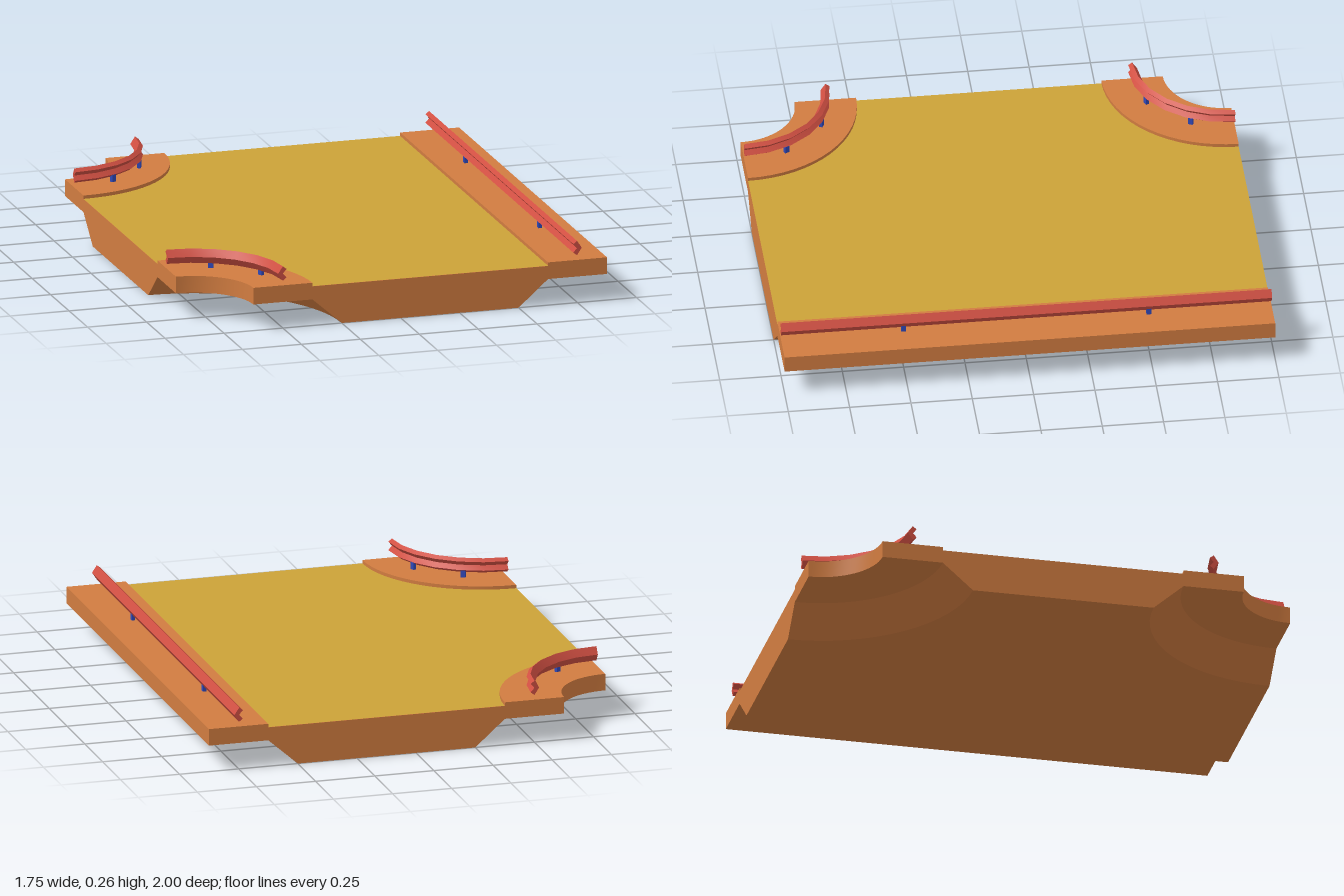
import * as THREE from 'three';
import { toCreasedNormals } from 'three/addons/utils/BufferGeometryUtils.js';

const paint = (color) => new THREE.MeshStandardMaterial({ color });
const concrete = paint(0xd17c40);
const asphalt = paint(0xcca238);
const railRed = paint(0xd04f42);
const postBlue = paint(0x3048b8);

function addMesh(parent, name, geometry, material) {
  const mesh = new THREE.Mesh(geometry, material);
  mesh.name = name;
  parent.add(mesh);
  return mesh;
}

// Points of an arc, in degrees
function arc(cx, cy, r, from, to, steps) {
  return Array.from({ length: steps + 1 }, (_, i) => {
    const a = THREE.MathUtils.degToRad(from + ((to - from) * i) / steps);
    return new THREE.Vector2(cx + r * Math.cos(a), cy + r * Math.sin(a));
  });
}

// Solid through matching rings, capped at both ends
function loft(rings) {
  const n = rings[0].length;
  const pos = [];
  const put = (...points) => points.forEach((p) => pos.push(p.x, p.y, p.z));
  for (let i = 0; i < rings.length - 1; i++) {
    for (let j = 0; j < n; j++) {
      const k = (j + 1) % n;
      const a = rings[i][j], b = rings[i][k], c = rings[i + 1][k], d = rings[i + 1][j];
      put(a, b, c, a, c, d);
    }
  }
  const flat = rings.flat2d;
  const first = rings[0], last = rings[rings.length - 1];
  for (const [a, b, c] of THREE.ShapeUtils.triangulateShape(flat, [])) {
    put(first[a], first[c], first[b], last[a], last[b], last[c]);
  }
  const geometry = new THREE.BufferGeometry();
  geometry.setAttribute('position', new THREE.Float32BufferAttribute(pos, 3));
  return toCreasedNormals(geometry, 0.5);
}

// Plan outlines stacked upwards: [height, outline] pairs
function stack(levels) {
  const rings = levels.map(([y, pts]) => pts.map((p) => new THREE.Vector3(p.x, y, -p.y)));
  rings.flat2d = levels[0][1];
  return loft(rings);
}

// Chevron guard rail section: x points away from the road, y is height
const chevron = [
  [0.02, 0.23], [0, 0.26], [-0.016, 0.248], [0, 0.23], [-0.016, 0.212], [0, 0.2],
].map(([x, y]) => new THREE.Vector2(x, y));

// Sweep the rail section through stations made by a placing function
function rail(stations, place) {
  const rings = stations.map((s) => chevron.map((p) => place(p, s)));
  rings.flat2d = chevron;
  return loft(rings);
}

// Deck plan: rectangle with two rounded cut-outs on its right side
function deckOutline(xRight, r) {
  return [
    new THREE.Vector2(xRight, -1),
    new THREE.Vector2(xRight, 1),
    ...arc(-0.875, 1, r, 0, -90, 16),
    ...arc(-0.875, -1, r, 90, 0, 16),
  ];
}

function addPost(parent, x, z, turn = 0) {
  const post = addMesh(parent, 'railPost', new THREE.BoxGeometry(0.014, 0.032, 0.02), postBlue);
  post.position.set(x, 0.194, z);
  post.rotation.y = turn;
}

// Curved corner walkway with its rail, around the local origin
function createCorner(name) {
  const corner = new THREE.Group();
  corner.name = name;
  const plan = [...arc(0, 0, 0.5, 0, 90, 16), ...arc(0, 0, 0.25, 90, 0, 16)];
  addMesh(corner, 'cornerCurb', stack([[0.11, plan], [0.18, plan]]), concrete);

  const angles = Array.from({ length: 7 }, (_, i) => (i / 6) * Math.PI / 2);
  const curved = rail(angles, (p, a) =>
    new THREE.Vector3((0.375 - p.x) * Math.cos(a), p.y, -(0.375 - p.x) * Math.sin(a)));
  addMesh(corner, 'curvedRail', curved, railRed);

  for (const deg of [27.5, 62.5]) {
    const a = THREE.MathUtils.degToRad(deg);
    addPost(corner, 0.381 * Math.cos(a), -0.381 * Math.sin(a), a);
  }
  return corner;
}

export function createModel() {
  const model = new THREE.Group();
  model.name = 'roadBridgeJunction';

  // Deck with sloped lower flanks
  const top = deckOutline(0.625, 0.5);
  const bottom = deckOutline(0.5, 0.625);
  addMesh(model, 'deck', stack([[0, bottom], [0.11, top], [0.165, top]]), concrete);

  // Road surface
  const road = new THREE.ShapeGeometry(new THREE.Shape(top)).rotateX(-Math.PI / 2);
  addMesh(model, 'roadSurface', road, asphalt).position.y = 0.166;

  // Straight side walkway and rail
  const curb = addMesh(model, 'sideCurb', new THREE.BoxGeometry(0.25, 0.07, 2), concrete);
  curb.position.set(0.75, 0.145, 0);
  const straight = rail([-1, 1], (p, z) => new THREE.Vector3(0.748 + p.x, p.y, z));
  addMesh(model, 'straightRail', straight, railRed);
  for (const z of [-0.5, 0.5]) addPost(model, 0.746, z);

  // Corner walkways
  const front = createCorner('frontCorner');
  front.position.set(-0.875, 0, 1);
  const back = createCorner('backCorner');
  back.position.set(-0.875, 0, -1);
  back.rotation.y = -Math.PI / 2;
  model.add(front, back);

  return model;
}
